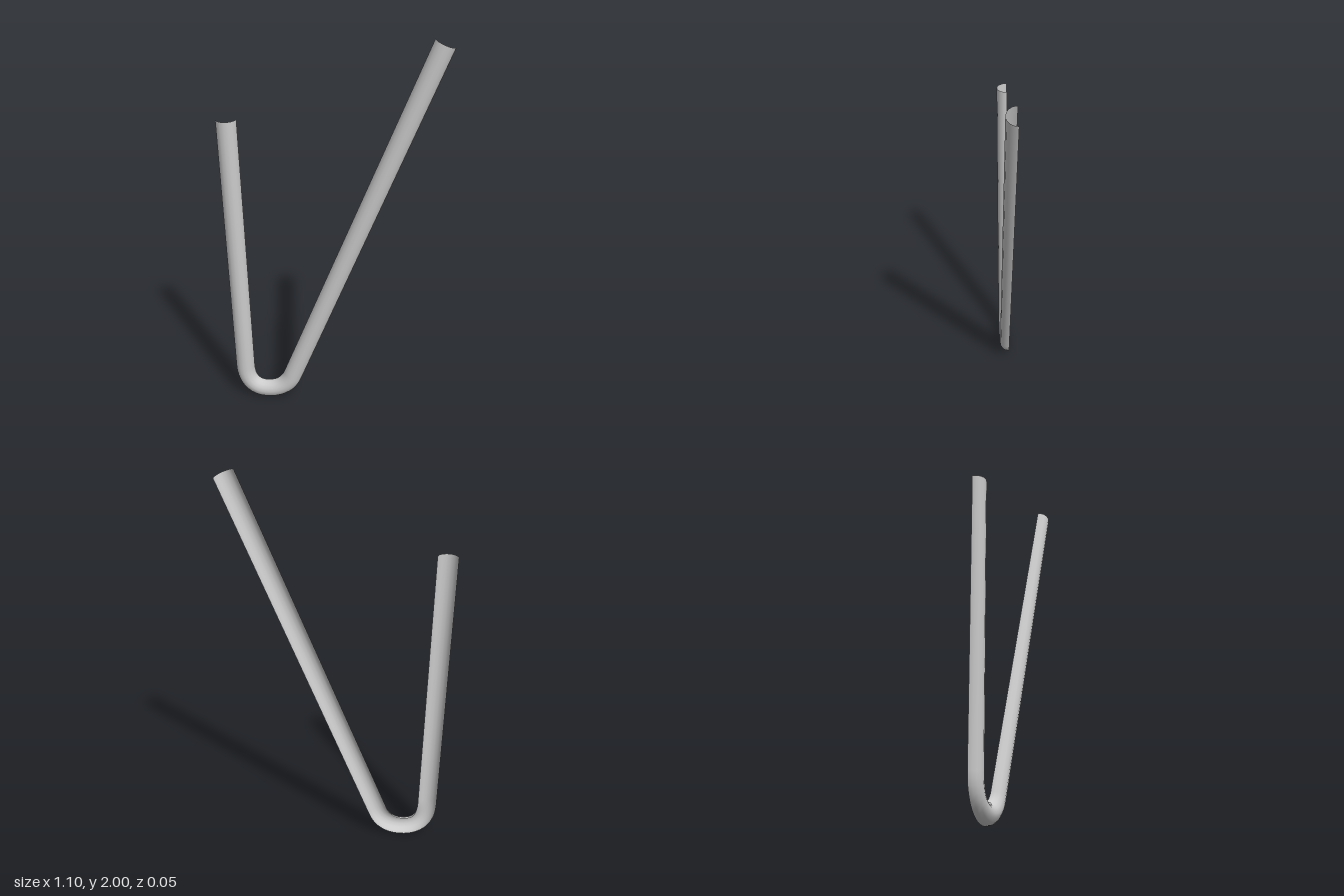
import * as THREE from 'three';

const RADIUS = 0.05;
const SIDES = 8;
const BEND_STEPS = 9;

// Centre line: short left leg, two-part rounded bend, long slanted right leg
function centreLine() {
  const v = (x, y) => new THREE.Vector2(x, y);
  const pieces = [
    [new THREE.LineCurve(v(-0.5, 1.59), v(-0.47, 0.19)), 1],
    [new THREE.CubicBezierCurve(v(-0.47, 0.19), v(-0.468, 0.1), v(-0.425, 0.052), v(-0.355, 0.052)), BEND_STEPS],
    [new THREE.CubicBezierCurve(v(-0.355, 0.052), v(-0.285, 0.052), v(-0.234, 0.088), v(-0.21, 0.15)), BEND_STEPS],
    [new THREE.LineCurve(v(-0.21, 0.15), v(0.501, 1.983)), 1],
  ];
  const stations = [];
  pieces.forEach(([curve, steps], k) => {
    for (let i = k ? 1 : 0; i <= steps; i++) {
      stations.push({ p: curve.getPoint(i / steps), t: curve.getTangent(i / steps) });
    }
  });
  return stations;
}

// Sweep an open half-round section along the centre line
function halfPipe(stations) {
  const geometry = new THREE.PlaneGeometry(1, 1, SIDES, stations.length - 1);
  const { position, normal } = geometry.attributes;
  stations.forEach(({ p, t }, row) => {
    for (let col = 0; col <= SIDES; col++) {
      const a = (Math.PI * col) / SIDES;
      const across = -Math.cos(a);
      const out = Math.sin(a);
      const nx = -t.y * across;
      const ny = t.x * across;
      const i = row * (SIDES + 1) + col;
      position.setXYZ(i, p.x + nx * RADIUS, p.y + ny * RADIUS, (out - 0.5) * RADIUS);
      normal.setXYZ(i, nx, ny, out);
    }
  });
  return geometry;
}

export function createModel() {
  const group = new THREE.Group();
  group.name = 'bentHalfPipe';
  const material = new THREE.MeshStandardMaterial({ color: 0xcccccc, side: THREE.DoubleSide });
  const channel = new THREE.Mesh(halfPipe(centreLine()), material);
  channel.name = 'channel';
  group.add(channel);
  return group;
}
